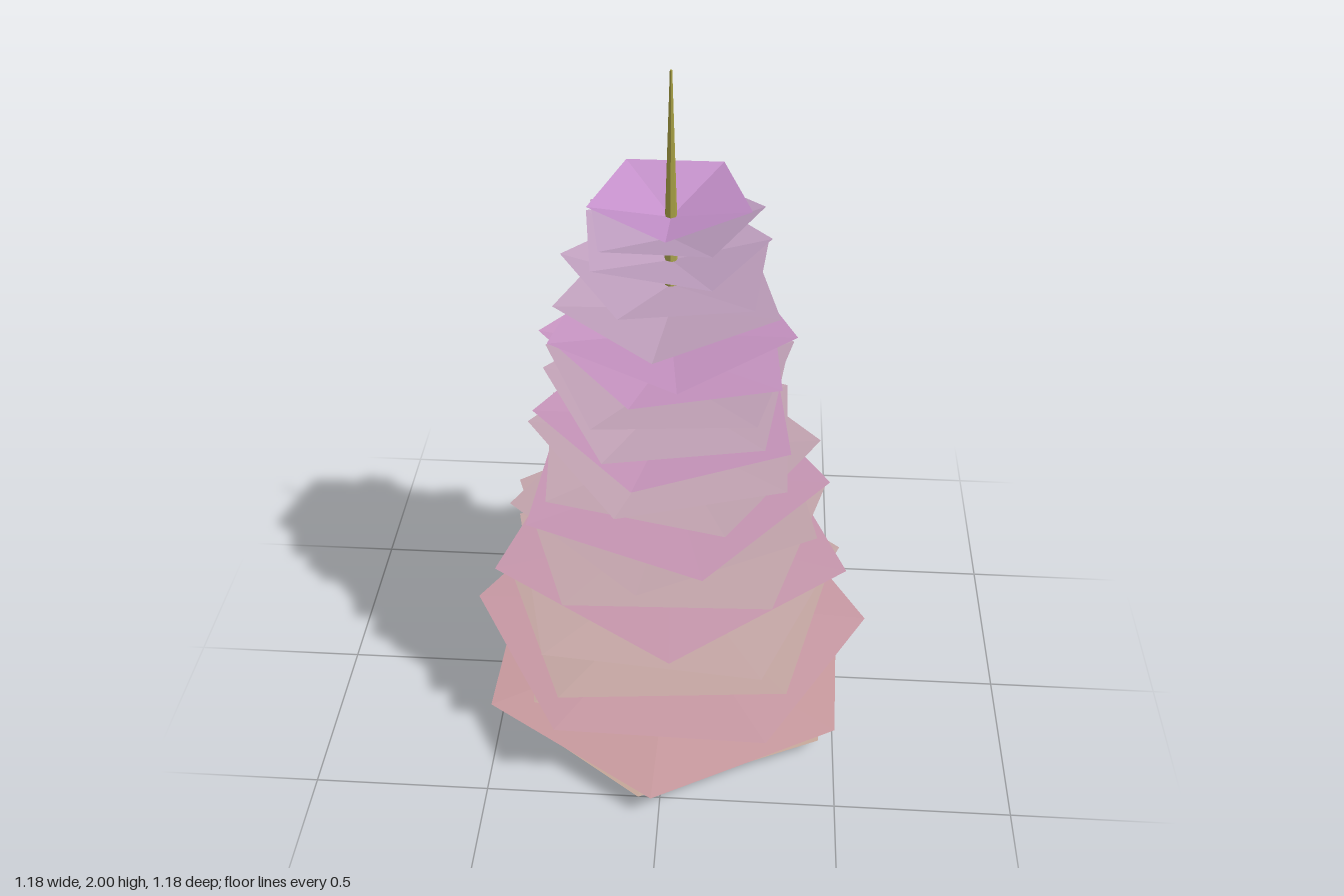
import * as THREE from 'three';

const AXIS_Z = -0.015;

// Tiers from bottom to top: height, rim radius, heading of one corner in degrees
// (0 = +x, 90 = -z), rim rise toward +x, rim rise toward +z
const TIERS = [
  [0.072, 0.56, 24, 0.012, 0], [0.115, 0.59, 28, 0, -0.01], [0.22, 0.52, 80, 0, 0],
  [0.27, 0.59, 0, -0.012, 0], [0.34, 0.54, 94, 0.01, 0.015], [0.437, 0.52, 86, -0.012, 0.005],
  [0.565, 0.525, 273, 0, 0], [0.63, 0.48, 92, 0, 0.007], [0.72, 0.46, 118, 0.01, 0.017],
  [0.785, 0.45, 68, 0.01, -0.01], [0.885, 0.42, 5, 0, 0], [0.93, 0.4, 180, -0.01, -0.01],
  [1.005, 0.38, 186, 0, 0], [1.08, 0.36, 172, 0, -0.03], [1.14, 0.36, 95, 0, 0.01],
  [1.22, 0.35, 112, -0.03, 0.01], [1.285, 0.34, 60, 0, 0], [1.365, 0.31, 265, 0.01, -0.015],
  [1.44, 0.29, 175, -0.01, 0], [1.515, 0.26, 80, -0.01, 0], [1.58, 0.24, 10, 0.015, 0.005],
  [1.64, 0.215, 270, 0, -0.01],
];
const HEXAGONAL = [0, 1, 3]; // the other tiers have five corners
const VIVID = [1, 3, 6, 9, 12, 15, 16, 21]; // pinker tiers among the paler ones

// Shallow many-sided sheet: drooping for cup < 0, bowl-like for cup > 0
function tierGeometry(radius, sides, heading, cup, riseX, riseZ) {
  const geo = new THREE.CircleGeometry(radius, sides);
  geo.rotateX(-Math.PI / 2);
  geo.rotateY(THREE.MathUtils.degToRad(heading));
  const pos = geo.attributes.position;
  pos.setY(0, -cup / 2);
  for (let i = 1; i < pos.count; i++) {
    pos.setY(i, cup / 2 + (riseX * pos.getX(i) + riseZ * pos.getZ(i)) / radius);
  }
  const flat = geo.toNonIndexed();
  flat.computeVertexNormals();
  return flat;
}

// Colour fades from tan or rose at the bottom to mauve or violet at the top
function tierColor(y, vivid) {
  const [low, high] = vivid ? [0xc89a9a, 0xc490ca] : [0xc6a898, 0xbe9ec2];
  return new THREE.Color(low).lerp(new THREE.Color(high), y / 1.64);
}

export function createModel() {
  const model = new THREE.Group();
  model.name = 'layeredTree';

  // Foliage tiers
  const foliage = new THREE.Group();
  foliage.name = 'foliage';
  TIERS.forEach(([y, radius, heading, riseX, riseZ], i) => {
    const sides = HEXAGONAL.includes(i) ? 6 : 5;
    const cup = THREE.MathUtils.lerp(-0.045, 0.06, Math.min(1, y / 1.5));
    const geo = tierGeometry(radius, sides, heading, cup, riseX, riseZ);
    const tier = new THREE.Mesh(geo, new THREE.MeshStandardMaterial({
      color: tierColor(y, VIVID.includes(i)), flatShading: true, side: THREE.DoubleSide,
    }));
    tier.name = `foliageTier${i + 1}`;
    tier.position.set(0, y, AXIS_Z);
    foliage.add(tier);
  });
  model.add(foliage);

  // Tapered trunk: pale base, olive stem, thin spire
  const trunk = new THREE.Group();
  trunk.name = 'trunk';
  [
    ['trunkBase', 0, 0.65, 0.034, 0.028, 0xc0c0a4],
    ['trunkStem', 0.65, 1.6, 0.028, 0.016, 0xaca650],
    ['trunkSpire', 1.6, 2, 0.016, 0.003, 0xa8a044],
  ].forEach(([name, y0, y1, r0, r1, color]) => {
    const geo = new THREE.CylinderGeometry(r1, r0, y1 - y0, 7);
    const part = new THREE.Mesh(geo, new THREE.MeshStandardMaterial({ color, flatShading: true }));
    part.name = name;
    part.position.set(0, (y0 + y1) / 2, AXIS_Z);
    trunk.add(part);
  });
  model.add(trunk);

  return model;
}
